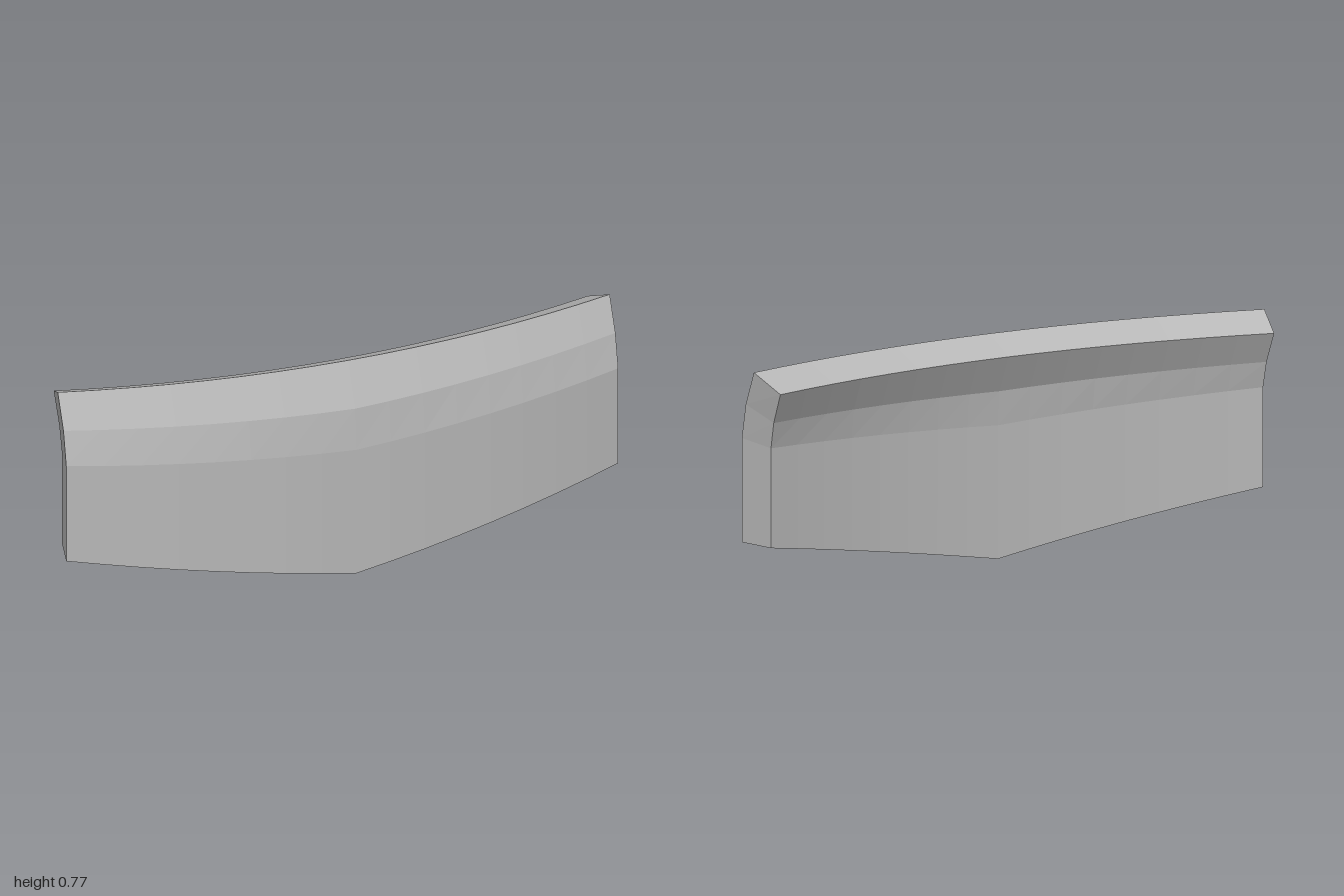
import * as THREE from 'three';

const THICKNESS = 0.138;
const SEGMENTS = 16;
const { lerp } = THREE.MathUtils;

// Closed cross-section at x: four front points going up, four back points going down
function crossSection(x) {
  const k = Math.abs(x);
  const bow = 0.177 - 0.135 * (x + 0.05) ** 2; // curve of the front face
  const yaw = Math.atan(0.27 * (x + 0.05)); // direction of its outward normal
  // height, setback from the front face, pitch and mitre length of each row
  const rows = [
    [0.167 * k, 0, 0, 1],
    [lerp(0.468, 0.527, k), 0, lerp(0.047, 0.11, k), 1.005],
    [lerp(0.617, 0.648, k), lerp(0.014, 0.027, k), lerp(0.26, 0.328, k), 1.01],
    [0.768, 0.082, 0.43, 1],
  ];
  const front = rows.map(([y, back]) => [x, y, bow - back]);
  const rear = rows.map(([y, back, pitch, mitre]) => {
    const t = THICKNESS * mitre;
    return [
      x - t * Math.cos(pitch) * Math.sin(yaw),
      y - t * Math.sin(pitch),
      bow - back - t * Math.cos(pitch) * Math.cos(yaw),
    ];
  });
  return [...front, ...rear.reverse()];
}

function createPanelGeometry() {
  const sections = [];
  for (let i = 0; i <= SEGMENTS; i++) sections.push(crossSection(-1 + (2 * i) / SEGMENTS));

  const positions = [];
  const quad = (a, b, c, d) => positions.push(...a, ...b, ...c, ...a, ...c, ...d);

  // Skin around the section
  for (let i = 0; i < SEGMENTS; i++) {
    const s = sections[i], n = sections[i + 1];
    for (let j = 0; j < 8; j++) {
      const m = (j + 1) % 8;
      quad(s[j], n[j], n[m], s[m]);
    }
  }
  // End caps
  const l = sections[SEGMENTS], r = sections[0];
  for (let j = 0; j < 3; j++) {
    quad(l[j], l[7 - j], l[6 - j], l[j + 1]);
    quad(r[j + 1], r[6 - j], r[7 - j], r[j]);
  }

  const geometry = new THREE.BufferGeometry();
  geometry.setAttribute('position', new THREE.Float32BufferAttribute(positions, 3));
  geometry.computeVertexNormals();
  return geometry;
}

export function createModel() {
  const group = new THREE.Group();
  group.name = 'curvedPanel';
  const grey = new THREE.MeshStandardMaterial({ color: 0xb8b8b8 });
  grey.name = 'light grey';
  grey.flatShading = true;
  const panel = new THREE.Mesh(createPanelGeometry(), grey);
  panel.name = 'panelShell';
  group.add(panel);
  return group;
}
